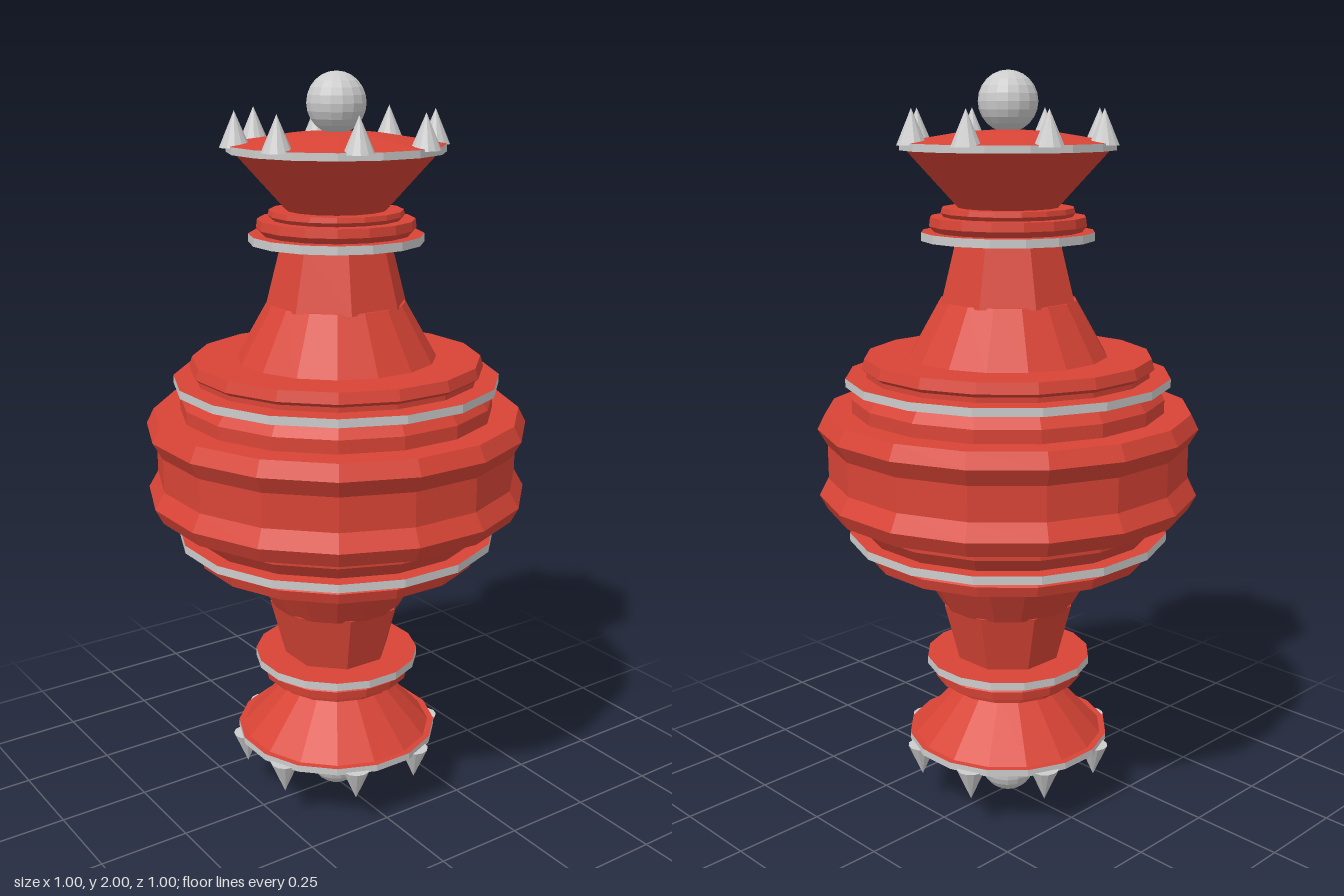
import * as THREE from 'three';

export function createModel() {
  const model = new THREE.Group();
  model.name = 'spindleOrnament';
  const red = new THREE.MeshStandardMaterial({ color: 0xd94436, flatShading: true });
  red.name = 'red';
  const silver = new THREE.MeshStandardMaterial({ color: 0xcccccc, flatShading: true });
  silver.name = 'silver';

  // Faceted turned piece; radii are measured to the middle of a flat side.
  // side = 1 keeps the upper half, -1 mirrors it about y = 1.
  const turn = (parent, name, profile, side, material = red, sides = 16) => {
    const pts = profile.map(([r, y]) =>
      new THREE.Vector2(r / Math.cos(Math.PI / sides), 1 + side * (y - 1)));
    if (side < 0) pts.reverse();
    const mesh = new THREE.Mesh(new THREE.LatheGeometry(pts, sides, Math.PI / sides), material);
    mesh.name = name;
    parent.add(mesh);
  };

  // Concave belt around the middle
  turn(model, 'belt', [[0.38, 0.87], [0.48, 0.87], [0.5, 0.91], [0.475, 0.955],
    [0.475, 1.045], [0.5, 1.09], [0.48, 1.13], [0.38, 1.13]], 1);

  for (const side of [1, -1]) {
    const half = new THREE.Group();
    half.name = side > 0 ? 'upperHalf' : 'lowerHalf';
    model.add(half);

    // Stepped shoulder with a wide rim
    turn(half, 'shoulder', [[0.41, 1.13], [0.41, 1.165], [0.385, 1.2], [0.425, 1.2]], side);
    turn(half, 'shoulderBand', [[0.425, 1.2], [0.425, 1.222]], side, silver);
    turn(half, 'shoulderCap', [[0.425, 1.222], [0.37, 1.222], [0.37, 1.235], [0.383, 1.245],
      [0.375, 1.273], [0.26, 1.273]], side);

    // Flare narrowing into an eight-sided neck
    turn(half, 'flare', [[0.26, 1.273], [0.178, 1.42], [0.1, 1.42]], side);
    turn(half, 'neck', [[0.15, 1.415], [0.173, 1.415], [0.134, 1.577]], side, red, 8);

    // Collar
    turn(half, 'collarUnderside', [[0.1, 1.575], [0.223, 1.575]], side);
    turn(half, 'collarBand', [[0.223, 1.575], [0.223, 1.597]], side, silver);
    turn(half, 'collar', [[0.223, 1.597], [0.19, 1.597], [0.203, 1.612], [0.2, 1.635],
      [0.165, 1.635], [0.173, 1.645], [0.17, 1.658], [0.128, 1.658]], side);

    // Flaring cup closed by a shallow dome
    turn(half, 'cup', [[0.128, 1.658], [0.258, 1.803], [0.275, 1.803]], side);
    turn(half, 'cupBand', [[0.275, 1.803], [0.275, 1.822]], side, silver);
    turn(half, 'dome', [[0.275, 1.822], [0.21, 1.832], [0.12, 1.847], [0, 1.855]], side);

    // Ball finial
    const ball = new THREE.Mesh(new THREE.SphereGeometry(0.077, 16, 12), silver);
    ball.name = 'ball';
    ball.position.y = 1 + side * 0.923;
    half.add(ball);

    // Ring of spikes
    for (let i = 0; i < 8; i++) {
      const a = (i + 0.5) * Math.PI / 4;
      const spike = new THREE.Mesh(new THREE.ConeGeometry(0.039, 0.09, 12), silver);
      spike.name = 'spike';
      spike.position.set(0.259 * Math.cos(a), 1 + side * 0.862, 0.259 * Math.sin(a));
      if (side < 0) spike.rotation.x = Math.PI;
      half.add(spike);
    }
  }
  return model;
}
